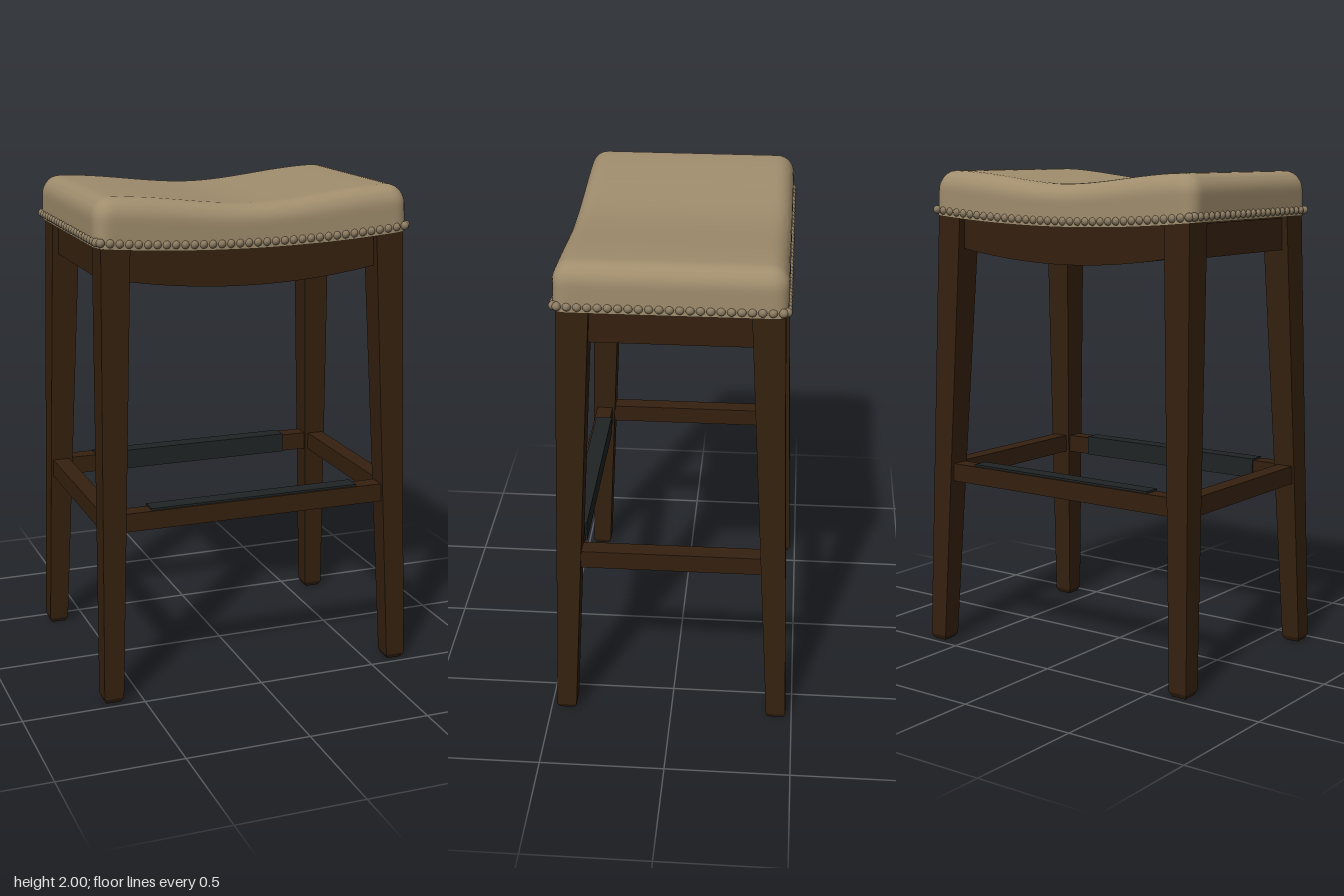
import * as THREE from 'three';
import { toCreasedNormals } from 'three/addons/utils/BufferGeometryUtils.js';

const material = (name, color) => {
  const m = new THREE.MeshStandardMaterial({ color });
  m.name = name;
  return m;
};

const HX = 0.642, HZ = 0.43, H = 0.17; // cushion half sizes and nominal height

// Saddle curves: underside and top of the cushion across the width
const underside = x => 1.785 + 0.032 * (x / HX) ** 2;
const saddleTop = x => 1.952 + 0.047 * THREE.MathUtils.smoothstep(Math.abs(x), 0, 0.58);

// Cushion: box rounded on its top and upright edges, then bent to the saddle
function cushionGeometry() {
  const r = 0.07, R = 0.05;
  const geo = new THREE.BoxGeometry(HX * 2, H, HZ * 2, 72, 12, 48);
  geo.deleteAttribute('uv');
  const pos = geo.attributes.position;
  const p = new THREE.Vector3(), c = new THREE.Vector3();
  for (let i = 0; i < pos.count; i++) {
    p.fromBufferAttribute(pos, i);
    p.y += H / 2;
    const q = THREE.MathUtils.lerp(R, r, p.y / H);
    c.set(
      THREE.MathUtils.clamp(p.x, -HX + q, HX - q),
      Math.min(p.y, H - r),
      THREE.MathUtils.clamp(p.z, -HZ + q, HZ - q)
    );
    p.sub(c);
    const len = p.length();
    if (len > 0) p.multiplyScalar(Math.max(Math.abs(p.x), Math.abs(p.y), Math.abs(p.z)) / len);
    p.add(c);
    pos.setXYZ(i, p.x, THREE.MathUtils.lerp(underside(p.x), saddleTop(p.x), p.y / H), p.z);
  }
  return toCreasedNormals(geo, 0.8);
}

// Leg: tapered, splayed post with a small chamfer at the foot
function legGeometry(sx, sz) {
  const rings = [ // y, x inner, x outer, z inner, z outer
    [0, 0.59, 0.65, 0.405, 0.465],
    [0.02, 0.58, 0.66, 0.395, 0.475],
    [1.82, 0.507, 0.622, 0.297, 0.418],
  ];
  const geo = new THREE.BoxGeometry(1, 2, 1, 1, 2, 1);
  const pos = geo.attributes.position;
  for (let i = 0; i < pos.count; i++) {
    const [y, xi, xo, zi, zo] = rings[Math.round(pos.getY(i)) + 1];
    const x = pos.getX(i) * sx > 0 ? xo : xi;
    const z = pos.getZ(i) * sz > 0 ? zo : zi;
    pos.setXYZ(i, x * sx, y, z * sz);
  }
  return toCreasedNormals(geo, 0.1);
}

// Long apron: board with a bowed lower edge and a top that follows the cushion
function apronGeometry() {
  const w = 0.54, n = 24, s = new THREE.Shape();
  s.moveTo(-w, 1.685);
  s.quadraticCurveTo(0, 1.585, w, 1.685);
  for (let i = 0; i <= n; i++) {
    const x = w - (2 * w * i) / n;
    s.lineTo(x, underside(x) + 0.004);
  }
  return new THREE.ExtrudeGeometry(s, { depth: 0.1, bevelEnabled: false, curveSegments: 24 });
}

export function createModel() {
  const model = new THREE.Group();
  model.name = 'saddleStool';
  const leather = material('tan leather', 0xa08d6d);
  const wood = material('dark brown wood', 0x35210f);
  const studs = material('antique nail heads', 0x8c7c62);
  const metal = material('dark metal', 0x202425);

  const add = (name, geo, mat, x = 0, y = 0, z = 0, parent = model) => {
    const m = new THREE.Mesh(geo, mat);
    m.name = name;
    m.position.set(x, y, z);
    parent.add(m);
    return m;
  };
  const box = (name, mat, w, h, d, x, y, z) =>
    add(name, new THREE.BoxGeometry(w, h, d), mat, x, y, z);

  add('cushion', cushionGeometry(), leather);

  // Nail heads around the lower edge of the cushion
  const nails = new THREE.Group();
  nails.name = 'nailTrim';
  model.add(nails);
  const nail = new THREE.SphereGeometry(0.017, 10, 8);
  const addNail = (x, z) => add('nail', nail, studs, x, underside(x) + 0.023, z, nails);
  for (const s of [-1, 1]) {
    for (let i = 0; i <= 34; i++) addNail(-0.625 + (1.25 * i) / 34, s * (HZ - 0.005));
    for (let i = 0; i <= 22; i++) addNail(s * (HX - 0.005), -0.41 + (0.82 * i) / 22);
  }

  const apron = apronGeometry();
  for (const s of [-1, 1]) {
    const end = s > 0 ? 'front' : 'back';
    const side = s > 0 ? 'left' : 'right';

    // Seat frame
    add(end + 'Apron', apron, wood, 0, 0, s > 0 ? 0.288 : -0.388);
    box(side + 'Apron', wood, 0.09, 0.13, 0.66, s * 0.553, 1.745, 0);

    // Foot rails
    box(end + 'Rail', wood, 1.14, 0.075, 0.07, 0, 0.7375, s * 0.4);
    box(side + 'Rail', wood, 0.07, 0.075, 0.76, s * 0.6, 0.7375, 0);

    // Kick plate over the top and inner face of the long rails
    box(end + 'KickPlateTop', metal, 0.88, 0.008, 0.066, 0, 0.779, s * 0.394);
    box(end + 'KickPlateInner', metal, 0.88, 0.083, 0.008, 0, 0.7415, s * 0.361);

    for (const x of [-1, 1]) add(end + (x > 0 ? 'Left' : 'Right') + 'Leg', legGeometry(x, s), wood);
  }
  return model;
}
